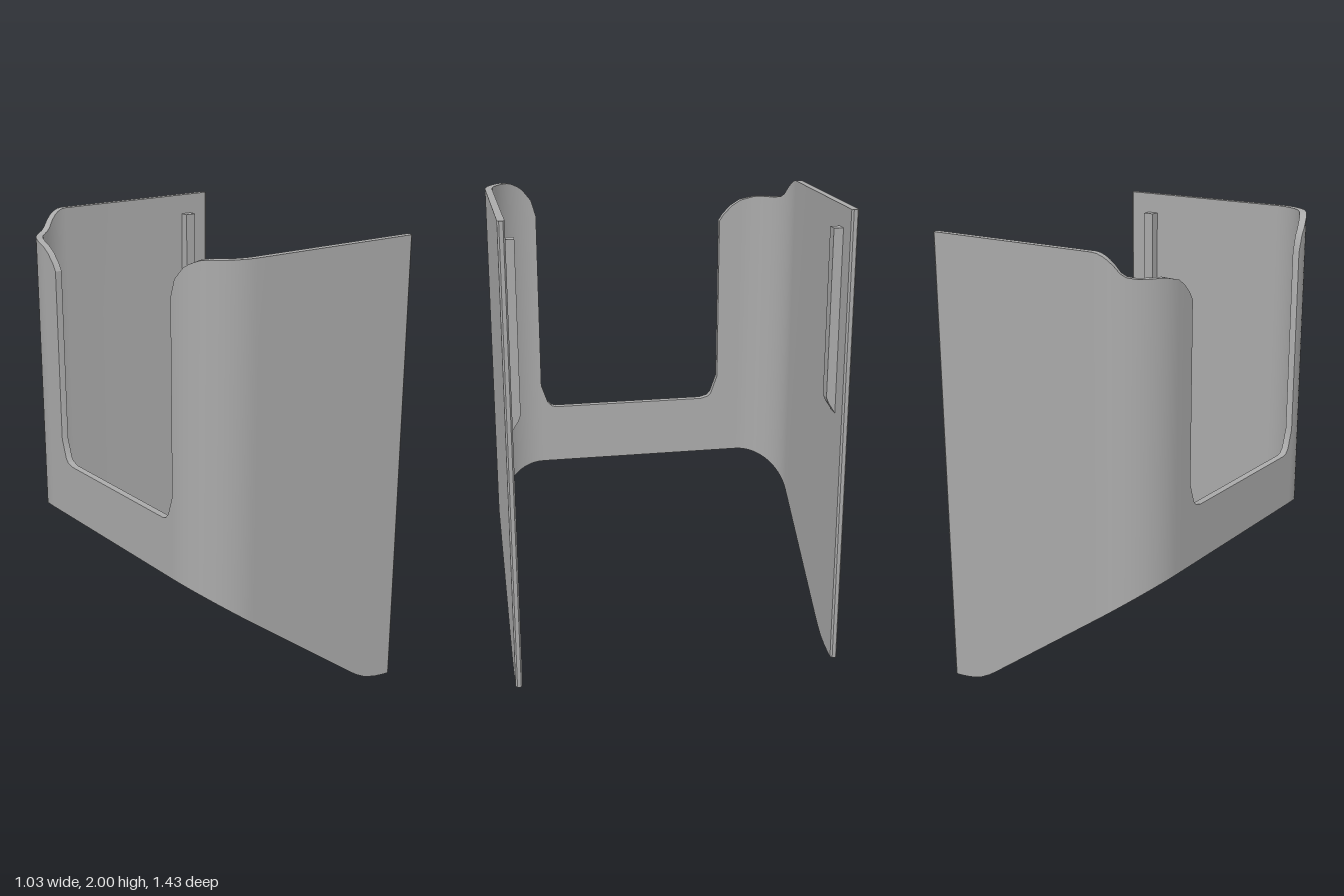
import * as THREE from 'three';
import { toCreasedNormals } from 'three/addons/utils/BufferGeometryUtils.js';

const R = 0.22, WALL_X = -0.5, SIDE_Z = 0.7, HALF = 0.015;

// height of the upper rim by z, including the cutout in the end wall
const RIM = [[-0.7, 2], [-0.67, 1.915], [-0.64, 1.905], [-0.55, 1.903], [-0.48, 1.885], [-0.44, 1.86],
  [-0.4, 1.82], [-0.381, 1.79], [-0.38, 1.03], [-0.35, 0.945], [-0.335, 0.93], [-0.3, 0.92],
  [0.41, 0.92], [0.43, 0.925], [0.45, 0.945], [0.479, 1.03], [0.48, 1.84], [0.5, 1.91],
  [0.55, 1.97], [0.6, 1.995], [0.63, 2], [0.7, 2]];
// height of the slanted lower edge by x
const FOOT = [[-0.515, 0.67], [0.27, 0.085], [0.31, 0.057], [0.36, 0.03], [0.42, 0.012], [0.47, 0.004], [0.515, 0]];

function lookup(table, t) {
  if (t <= table[0][0]) return table[0][1];
  for (let i = 1; i < table.length; i++) {
    const [a, ya] = table[i - 1], [b, yb] = table[i];
    if (t <= b) return ya + (yb - ya) * (t - a) / (b - a);
  }
  return table[table.length - 1][1];
}

// centre line of the U: position, outward direction, half thickness
function centreLine() {
  const path = [];
  const side = [[0.515, 0.008], [0.505, HALF], ...[0.47, 0.42, 0.36, 0.31, 0.27, 0].map(x => [x, HALF])];
  const add = (x, z, nx, nz, h = HALF) => path.push({ x, z, nx, nz, h });
  const arcSteps = 16, cx = WALL_X + R, cz = SIDE_Z - R;
  for (const [x, h] of side) add(x, SIDE_Z, 0, 1, h);
  for (let i = 0; i <= arcSteps; i++) {
    const a = i / arcSteps * Math.PI / 2;
    add(cx - R * Math.sin(a), cz + R * Math.cos(a), -Math.sin(a), Math.cos(a));
  }
  for (const [z] of [...RIM].reverse()) if (Math.abs(z) < cz - 0.0005) add(WALL_X, z, -1, 0);
  for (let i = arcSteps; i >= 0; i--) {
    const a = i / arcSteps * Math.PI / 2;
    add(cx - R * Math.sin(a), -cz - R * Math.cos(a), -Math.sin(a), -Math.cos(a));
  }
  for (const [x, h] of side.reverse()) add(x, -SIDE_Z, 0, -1, h);
  return path;
}

function shellGeometry() {
  const rings = centreLine().map(({ x, z, nx, nz, h }) => {
    const top = lookup(RIM, z);
    const xo = x + nx * h, zo = z + nz * h, xi = x - nx * h, zi = z - nz * h;
    return [[xo, lookup(FOOT, xo), zo], [xi, lookup(FOOT, xi), zi], [xi, top, zi], [xo, top, zo]];
  });
  const pos = [];
  const quad = (a, b, c, d) => pos.push(...a, ...b, ...c, ...a, ...c, ...d);
  for (let i = 0; i < rings.length - 1; i++) {
    const A = rings[i], B = rings[i + 1];
    for (let k = 0; k < 4; k++) quad(A[k], B[k], B[(k + 1) % 4], A[(k + 1) % 4]);
  }
  const first = rings[0], last = rings[rings.length - 1];
  quad(...first);
  quad(last[3], last[2], last[1], last[0]);
  const geo = new THREE.BufferGeometry();
  geo.setAttribute('position', new THREE.Float32BufferAttribute(pos, 3));
  return toCreasedNormals(geo, 0.5);
}

// guide rib on the inside of a side panel, with a sloped lower end
function ribGeometry(sign) {
  const pts = [[0.69, 1.91], [0.645, 1.91], [0.645, 1.19], [0.655, 1.165], [0.69, 1.11]];
  const shape = new THREE.Shape(pts.map(([z, y]) => new THREE.Vector2(sign * z, y)));
  const geo = new THREE.ExtrudeGeometry(shape, { depth: 0.05, bevelEnabled: false });
  return geo.rotateY(-Math.PI / 2).translate(0.415, 0, 0);
}

export function createModel() {
  const group = new THREE.Group();
  group.name = 'bracket';
  const grey = new THREE.MeshStandardMaterial({ color: 0xaaaaaa });
  grey.name = 'grey';

  const add = (name, geo) => {
    const mesh = new THREE.Mesh(geo, grey);
    mesh.name = name;
    group.add(mesh);
  };
  add('shell', shellGeometry());
  add('frontRib', ribGeometry(1));
  add('backRib', ribGeometry(-1));
  return group;
}
